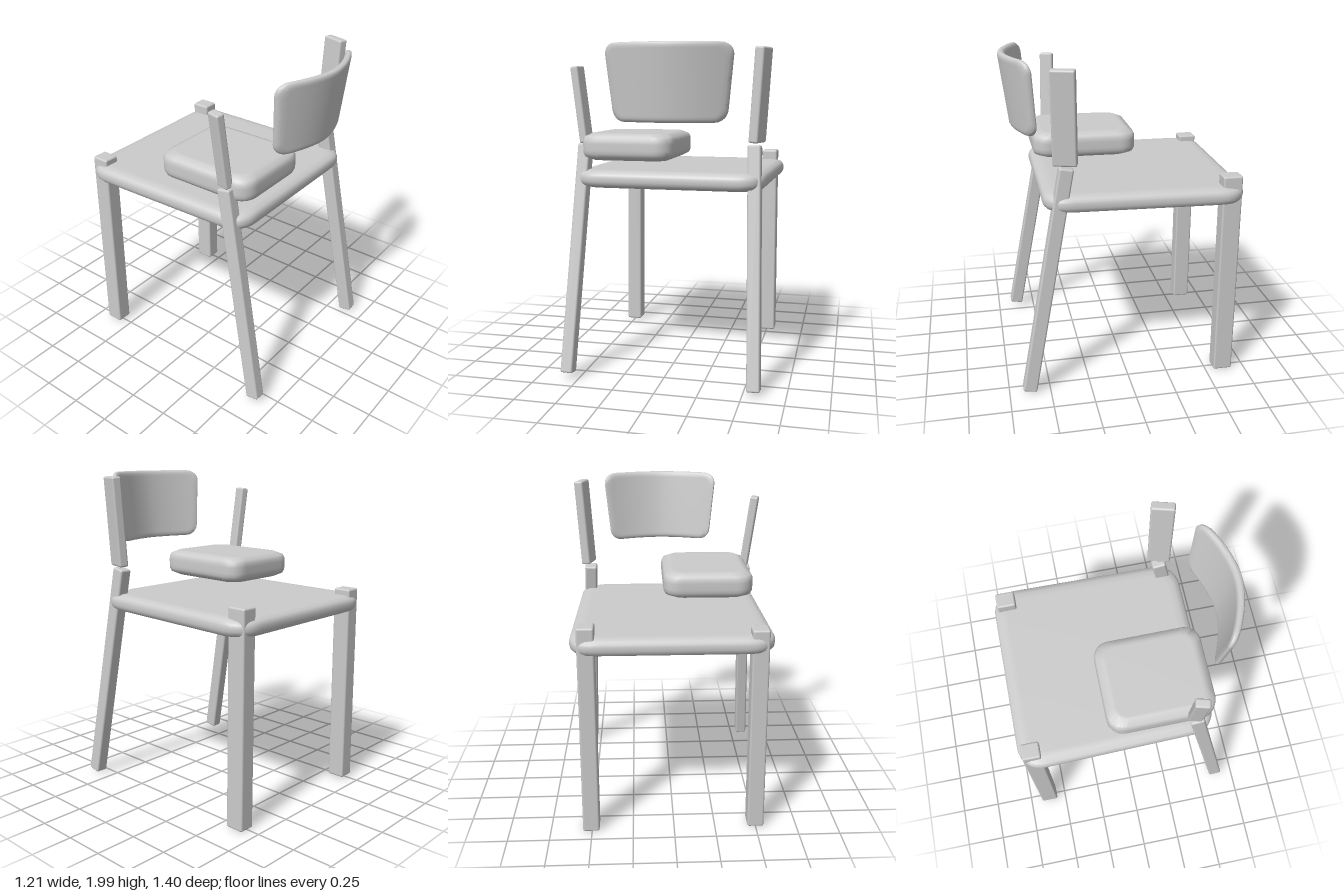
import * as THREE from 'three';
import { toCreasedNormals } from 'three/addons/utils/BufferGeometryUtils.js';
import { RoundedBoxGeometry } from 'three/addons/geometries/RoundedBoxGeometry.js';

const material = new THREE.MeshStandardMaterial({ color: 0xcccccc });

function addMesh(group, name, geometry) {
  const mesh = new THREE.Mesh(geometry, material);
  mesh.name = name;
  group.add(mesh);
  return mesh;
}

// Slab lying in XY, thick along Z: rounded plan corners (r), rounded rims (e),
// then an optional bending rule applied to every vertex.
function slab(w, h, t, r, e, warp = () => {}) {
  const geo = new THREE.BoxGeometry(w, h, t, 28, 28, 8);
  const pos = geo.attributes.position;
  const p = new THREE.Vector3();
  for (let i = 0; i < pos.count; i++) {
    p.fromBufferAttribute(pos, i);
    // wrap the square corner onto a quarter disc
    const dx = Math.abs(p.x) - (w / 2 - r);
    const dy = Math.abs(p.y) - (h / 2 - r);
    if (dx > 0 && dy > 0) {
      const k = Math.max(dx, dy) / Math.hypot(dx, dy);
      p.x = Math.sign(p.x) * (w / 2 - r + dx * k);
      p.y = Math.sign(p.y) * (h / 2 - r + dy * k);
    }
    // pull the rim in towards the two broad faces
    const k = Math.min(1, Math.max(0, (Math.abs(p.z) - (t / 2 - e)) / e));
    const inset = e * (1 - Math.sqrt(1 - k * k));
    p.x *= 1 - (2 * inset) / w;
    p.y *= 1 - (2 * inset) / h;
    warp(p);
    pos.setXYZ(i, p.x, p.y, p.z);
  }
  return toCreasedNormals(geo, 0.7);
}

// Square bar between two end points, turned about its own axis by yaw.
function addBar(group, name, bottom, top, width, depth, yaw = 0) {
  const a = new THREE.Vector3(...bottom);
  const b = new THREE.Vector3(...top);
  const dir = b.clone().sub(a);
  const geo = new RoundedBoxGeometry(width, dir.length(), depth, 2, 0.012);
  const bar = addMesh(group, name, geo);
  bar.position.copy(a).add(b).multiplyScalar(0.5);
  const up = new THREE.Vector3(0, 1, 0);
  bar.quaternion.setFromUnitVectors(up, dir.normalize());
  bar.rotateY(yaw);
}

export function createModel() {
  const chair = new THREE.Group();
  chair.name = 'chair';

  // Seat board, a little wider at the back and sloping down to it
  const seat = addMesh(chair, 'seat', slab(1.16, 1.2, 0.105, 0.14, 0.045, (p) => {
    p.x *= 1 + 0.02 * (p.y / 0.6);
  }));
  seat.rotation.x = -Math.PI / 2 - 0.013;
  seat.position.set(0.008, 1.2, -0.1);

  // Loose cushion
  const cushion = addMesh(chair, 'cushion', slab(0.56, 0.65, 0.16, 0.1, 0.05));
  cushion.rotation.x = -Math.PI / 2 - 0.01;
  cushion.position.set(-0.238, 1.397, 0.176);

  // Curved backrest, wider and leaning outward at the top
  const rest = addMesh(chair, 'backrest', slab(0.71, 0.445, 0.045, 0.07, 0.02, (p) => {
    p.x *= 1 + 0.065 * (p.y / 0.22);
    p.z += 0.028 * (p.y / 0.22) - 0.125 * Math.pow(Math.abs(p.x) / 0.375, 1.8);
  }));
  rest.position.set(0.045, 1.778, 0.648);

  // Upright legs at the back
  addBar(chair, 'backLegLeft', [0.505, 0.01, -0.61], [0.5, 1.31, -0.615], 0.1, 0.118);
  addBar(chair, 'backLegRight', [-0.497, 0.02, -0.615], [-0.488, 1.285, -0.62], 0.1, 0.112);

  // Splayed legs at the front
  addBar(chair, 'frontLegLeft', [0.562, 0.025, 0.627], [0.515, 1.418, 0.367], 0.078, 0.085);
  addBar(chair, 'frontLegRight', [-0.568, 0.045, 0.625], [-0.518, 1.41, 0.367], 0.075, 0.085);

  // Uprights standing on the front legs
  addBar(chair, 'uprightLeft', [0.528, 1.435, 0.373], [0.562, 1.98, 0.38], 0.058, 0.14, -0.27);
  addBar(chair, 'uprightRight', [-0.516, 1.415, 0.358], [-0.576, 1.875, 0.342], 0.052, 0.085, -0.25);

  return chair;
}
